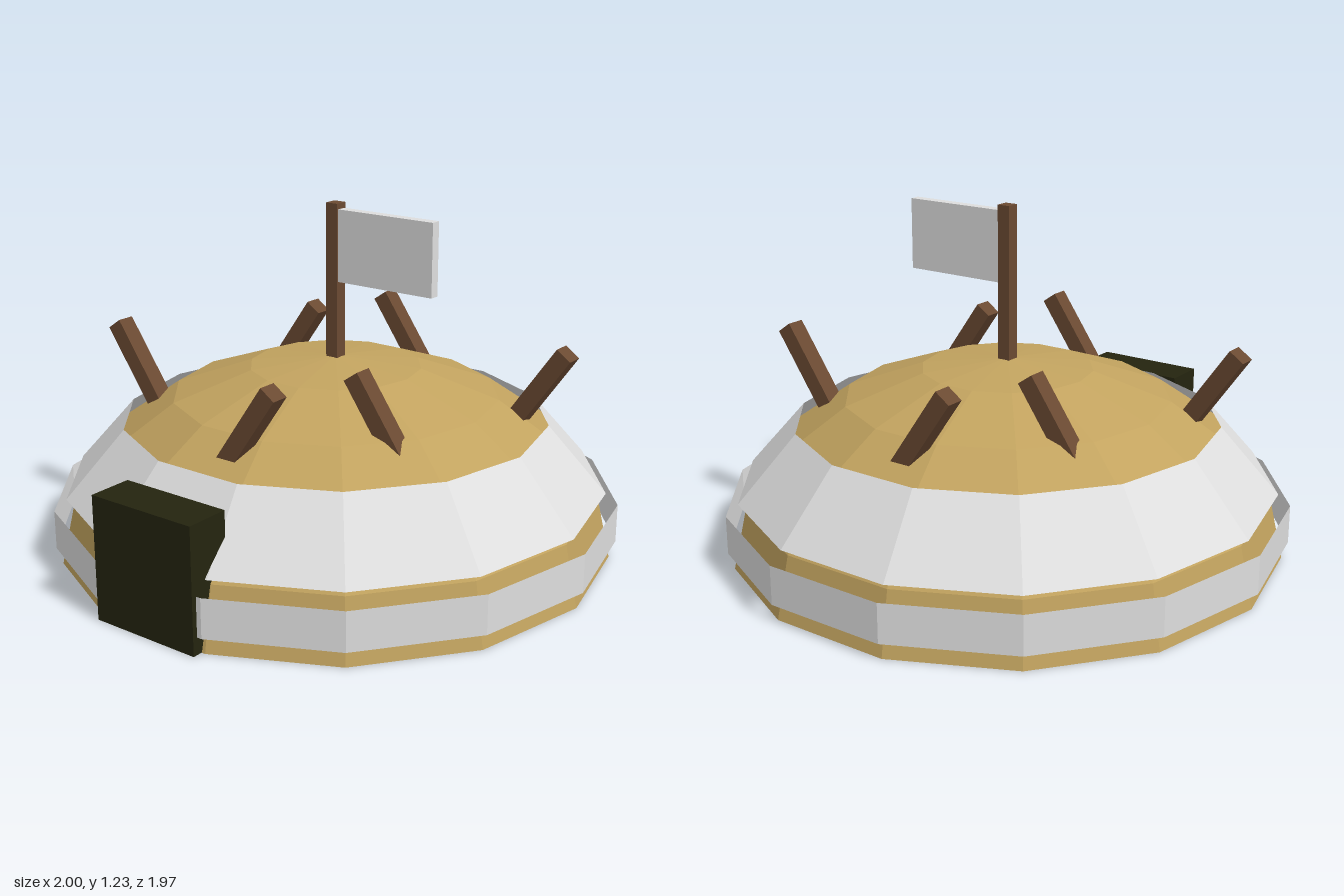
import * as THREE from 'three';

const SIDES = 14;

function material(name, color, doubleSided = false) {
  const m = new THREE.MeshStandardMaterial({ color });
  m.name = name;
  m.flatShading = true;
  if (doubleSided) m.side = THREE.DoubleSide;
  return m;
}

export function createModel() {
  const hide = material('tan hide', 0xc2a35f, true);
  const cloth = material('pale cloth', 0xdedede, true);
  const wood = material('brown wood', 0x6b4a32);
  const dark = material('dark doorway', 0x24240f);

  const hut = new THREE.Group();
  hut.name = 'hut';

  function add(name, geometry, mat, x = 0, y = 0, z = 0) {
    const mesh = new THREE.Mesh(geometry, mat);
    mesh.name = name;
    mesh.position.set(x, y, z);
    hut.add(mesh);
    return mesh;
  }

  // Open, faceted dome
  const dome = new THREE.SphereGeometry(0.98, SIDES, 5, 0, Math.PI * 2, 0, Math.PI / 2);
  dome.scale(1, 0.7, 1);
  add('dome', dome, hide);

  // Thin cloth rings around the dome, each open at top and bottom
  function ring(name, topRadius, bottomRadius, y0, y1) {
    const g = new THREE.CylinderGeometry(topRadius, bottomRadius, y1 - y0, SIDES, 1, true, Math.PI / 2);
    add(name, g, cloth, 0, (y0 + y1) / 2);
  }
  ring('lowerBand', 1, 1, 0.06, 0.197);
  ring('upperBand', 0.75, 0.957, 0.237, 0.473);

  // Doorway block set through the front wall
  add('doorway', new THREE.BoxGeometry(0.41, 0.43, 0.157), dark, 0, 0.216, 0.914);

  // Slanted poles through the roof: alternate ones lean the other way
  const poleGeometry = new THREE.BoxGeometry(0.063, 0.76, 0.065);
  for (let i = 0; i < 6; i++) {
    const a = i * Math.PI / 3;
    const x = 0.61 * Math.sin(a), z = 0.61 * Math.cos(a);
    // front, back-left and back-right lean to +x; the others to -x
    const lean = i % 2 === 0 ? -1 : 1;
    add('roofPole', poleGeometry, wood, x, 0.437, z).rotation.z = lean * 0.61;
  }

  // Flag on its staff
  add('flagStaff', new THREE.BoxGeometry(0.047, 0.585, 0.047), wood, 0, 0.933, 0);
  add('flag', new THREE.BoxGeometry(0.385, 0.252, 0.036), cloth, 0.213, 1.08, 0);

  // Centre the whole front to back
  hut.children.forEach((c) => { c.position.z -= 0.008; });
  return hut;
}
